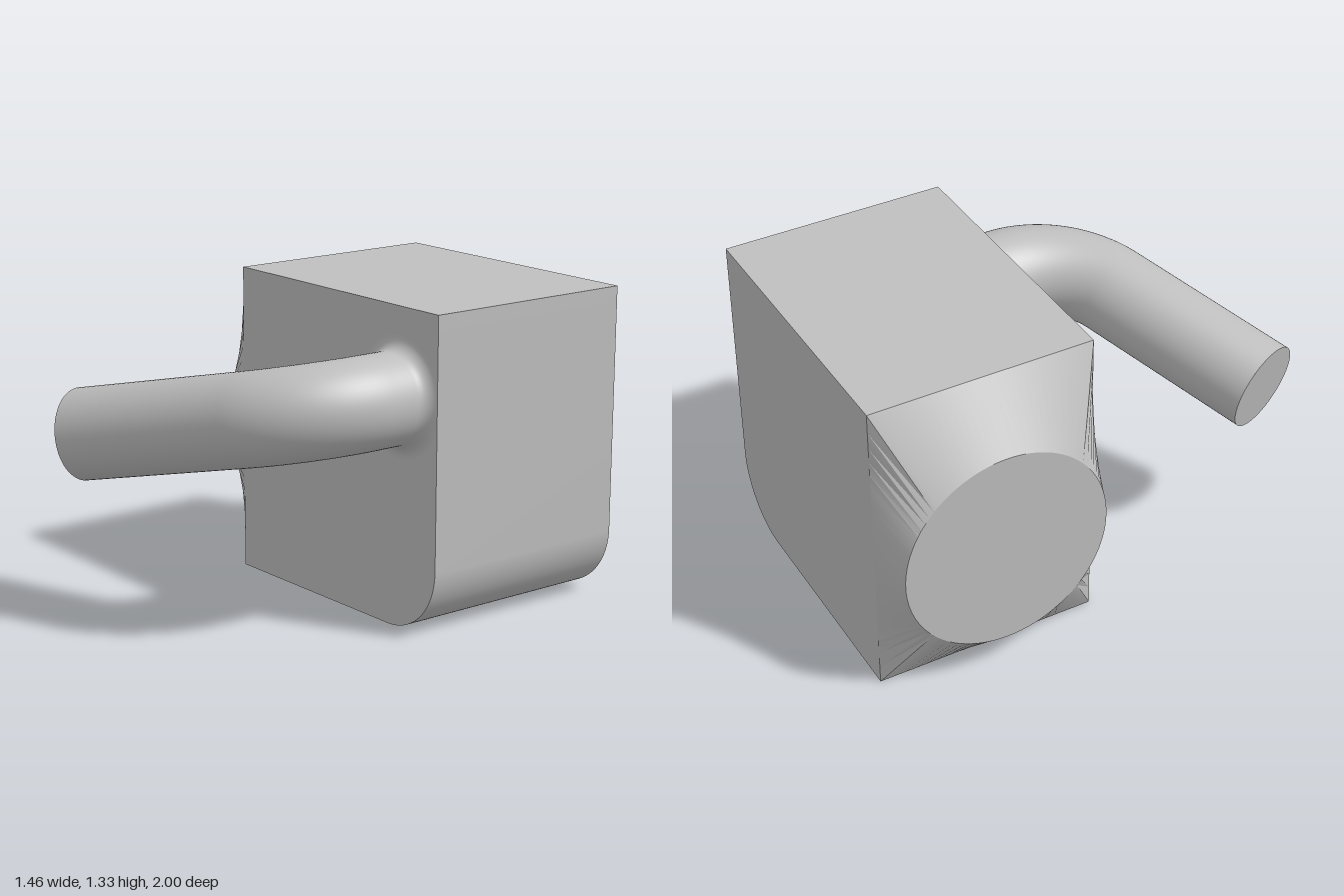
import * as THREE from 'three';
import { toCreasedNormals } from 'three/addons/utils/BufferGeometryUtils.js';

const V = (x, y, z) => new THREE.Vector3(x, y, z);

// Ruled transition from the block's rectangular side to a round face
function loftGeometry(n = 96) {
  const pos = [], index = [];
  for (let i = 0; i <= n; i++) {
    const a = (i / n) * Math.PI * 2, c = Math.cos(a), s = Math.sin(a);
    const m = Math.max(Math.abs(c), Math.abs(s));
    pos.push(-0.545, 0.6625 + 0.6625 * s / m, -0.52 + 0.48 * c / m);
    pos.push(-0.73, 0.62 + 0.445 * s, -0.52 + 0.44 * c);
    if (i < n) {
      const k = i * 2;
      index.push(k, k + 2, k + 1, k + 2, k + 3, k + 1);
    }
  }
  const g = new THREE.BufferGeometry();
  g.setAttribute('position', new THREE.Float32BufferAttribute(pos, 3));
  g.setIndex(index);
  return toCreasedNormals(g, 0.5);
}

export function createModel() {
  const group = new THREE.Group();
  const grey = new THREE.MeshStandardMaterial({ name: 'grey', color: 0xbfbfbf });
  const add = (name, geometry) => {
    const mesh = new THREE.Mesh(geometry, grey);
    mesh.name = name;
    group.add(mesh);
    return mesh;
  };

  // Block with one rounded lower edge
  const x0 = -0.545, x1 = 0.725, h = 1.325, r = 0.29;
  const outline = new THREE.Shape();
  outline.moveTo(x0, 0);
  outline.lineTo(x1 - r, 0);
  outline.absarc(x1 - r, r, r, -Math.PI / 2, 0, false);
  outline.lineTo(x1, h);
  outline.lineTo(x0, h);
  outline.closePath();
  const block = new THREE.ExtrudeGeometry(outline, { depth: 0.96, bevelEnabled: false, curveSegments: 24 });
  block.translate(0, 0, -1);
  add('block', toCreasedNormals(block, 0.5));

  // Side transition and its round end face
  add('sideTransition', loftGeometry());
  const face = new THREE.CircleGeometry(1, 96);
  face.scale(0.44, 0.445, 1);
  face.rotateY(-Math.PI / 2);
  face.translate(-0.73, 0.62, -0.52);
  add('roundSideFace', face);

  // Bent arm: straight, circular bend, straight
  const radius = 0.19;
  const corner = V(0.5, 0.96, 0.417), end = V(-0.475, 0.745, 0.82);
  const dir = end.clone().sub(corner).normalize();
  const t = 0.29, handle = 0.115;
  const bendStart = V(0.5, 0.96, corner.z - t);
  const bendEnd = corner.clone().addScaledVector(dir, t);
  const path = new THREE.CurvePath();
  path.add(new THREE.LineCurve3(V(0.5, 0.96, -0.04), bendStart));
  path.add(new THREE.CubicBezierCurve3(bendStart,
    corner.clone().add(V(0, 0, -handle)), corner.clone().addScaledVector(dir, -(-handle)), bendEnd));
  path.add(new THREE.LineCurve3(bendEnd, end));
  add('arm', new THREE.TubeGeometry(path, 100, radius, 64, false));
  const cap = add('armEnd', new THREE.CircleGeometry(radius, 64));
  cap.position.copy(end);
  cap.lookAt(end.clone().add(dir));

  // Fillet where the arm meets the block, trimmed at the block's edge
  const f = 0.06, profile = [];
  for (let i = 0; i <= 10; i++) {
    const a = (i / 10) * Math.PI / 2;
    profile.push(new THREE.Vector2(radius + f - f * Math.sin(a), f - f * Math.cos(a)));
  }
  const fillet = new THREE.LatheGeometry(profile, 64);
  fillet.rotateX(Math.PI / 2);
  fillet.translate(0.5, 0.96, -0.04);
  const p = fillet.attributes.position;
  for (let i = 0; i < p.count; i++) p.setX(i, Math.min(p.getX(i), x1));
  add('armFillet', fillet);

  return group;
}
